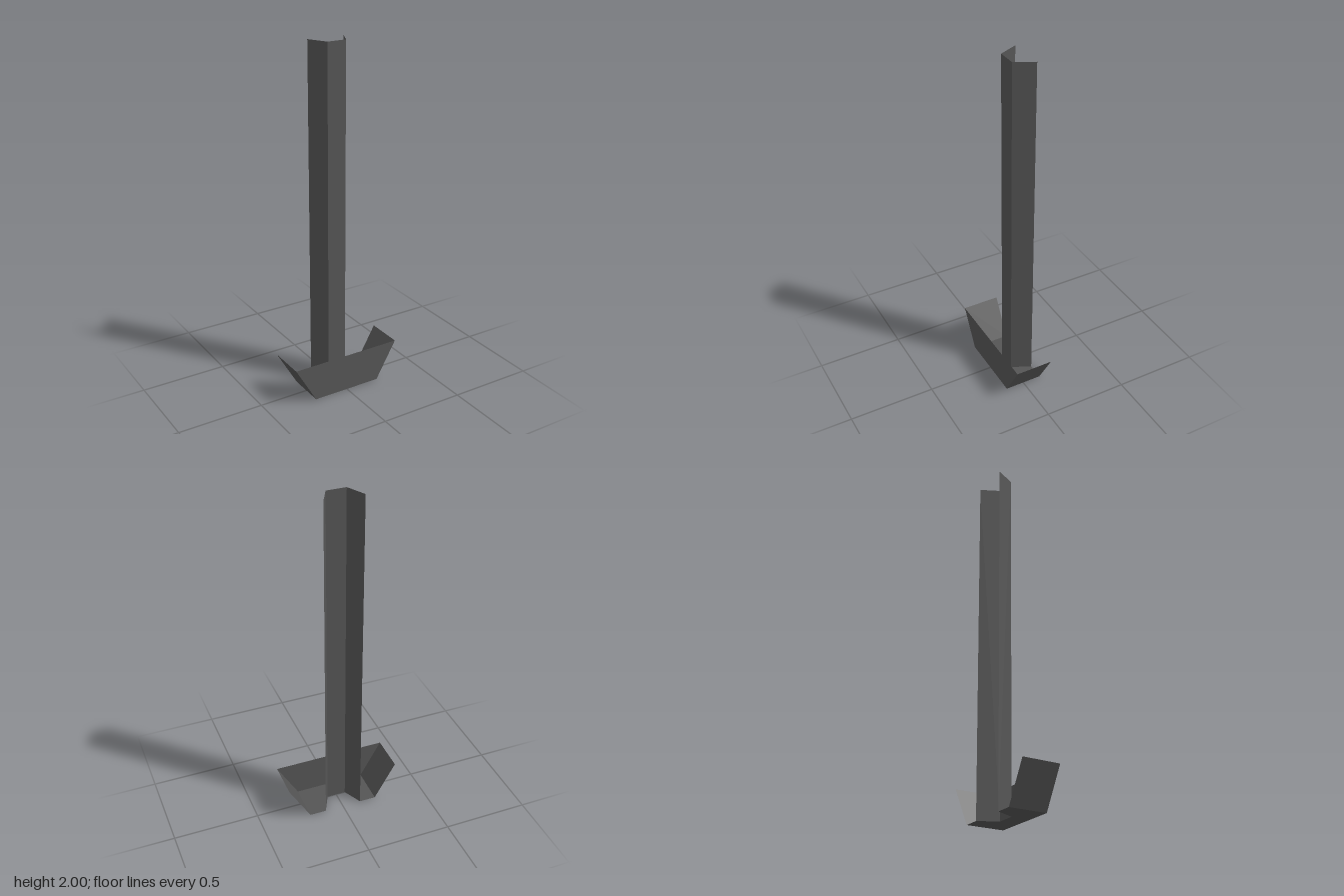
import * as THREE from 'three';

const material = new THREE.MeshStandardMaterial({
  color: 0x555555, flatShading: true, side: THREE.DoubleSide,
});

const HALF = 0.11;    // half depth of the tray
const FLOOR = 0.207;  // half width of the tray floor
const RIM = 0.333;    // half width of the tray rim
const HEIGHT = 0.22;  // tray height
const FOLD = 0.056;   // half width of the post web

// Sheet folded along an open xy path and drawn out along z
function foldedSheet(path, z0, z1) {
  const positions = [];
  for (let i = 0; i < path.length - 1; i++) {
    const [ax, ay] = path[i], [bx, by] = path[i + 1];
    positions.push(ax, ay, z0, bx, by, z0, bx, by, z1);
    positions.push(ax, ay, z0, bx, by, z1, ax, ay, z1);
  }
  const geometry = new THREE.BufferGeometry();
  geometry.setAttribute('position', new THREE.Float32BufferAttribute(positions, 3));
  geometry.computeVertexNormals();
  return geometry;
}

// Flat sheet with a polygonal outline in the xy plane
function flatSheet(outline) {
  return new THREE.ShapeGeometry(new THREE.Shape(outline.map(([x, y]) => new THREE.Vector2(x, y))));
}

export function createModel() {
  const group = new THREE.Group();
  const add = (name, geometry) => {
    const mesh = new THREE.Mesh(geometry, material);
    mesh.name = name;
    group.add(mesh);
  };

  // Post: channel section open to the back; it also bounds the floor notch
  const channel = [[-HALF, HALF], [-FOLD, 0], [FOLD, 0], [HALF, HALF]];
  add('post', foldedSheet(channel, 0, 2).rotateX(-Math.PI / 2));

  // Tray floor, notched around the post
  add('trayFloor', flatSheet([
    [-FLOOR, -HALF], [FLOOR, -HALF], [FLOOR, HALF],
    ...channel.slice().reverse(), [-FLOOR, HALF],
  ]).rotateX(-Math.PI / 2));

  // Tray front
  add('trayFront', flatSheet([
    [-FLOOR, 0], [FLOOR, 0], [RIM, HEIGHT], [-RIM, HEIGHT],
  ]).translate(0, 0, HALF));

  // Flared tray sides
  for (const [name, s] of [['leftSide', 1], ['rightSide', -1]]) {
    add(name, foldedSheet([[s * FLOOR, 0], [s * RIM, HEIGHT]], -HALF, HALF));
  }

  return group;
}
